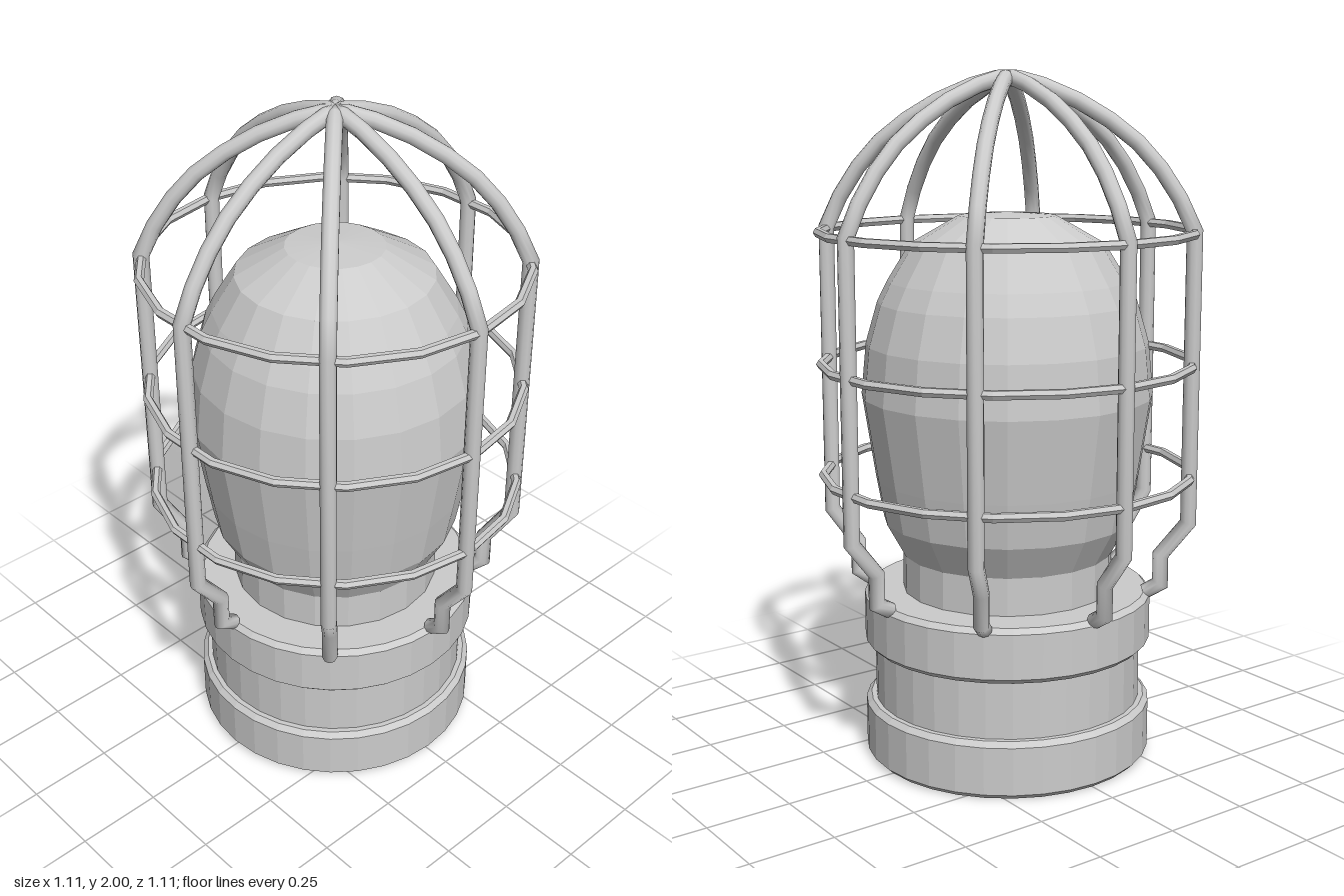
import * as THREE from 'three';

const material = new THREE.MeshStandardMaterial({ color: 0xcccccc, flatShading: true });
const smooth = new THREE.MeshStandardMaterial({ color: 0xcccccc });

function add(parent, name, geometry, mat = material) {
  const mesh = new THREE.Mesh(geometry, mat);
  mesh.name = name;
  parent.add(mesh);
  return mesh;
}

function lathe(profile, sides) {
  return new THREE.LatheGeometry(profile.map(([r, y]) => new THREE.Vector2(r, y)), sides);
}

// Round bar with mitred bends along a path in the XY plane, closed at both ends
function bar(path, radius, sides) {
  const pts = path.map(([x, y]) => new THREE.Vector2(x, y));
  const pos = [], index = [];
  pts.forEach((p, i) => {
    const before = p.clone().sub(pts[Math.max(i - 1, 0)]).normalize();
    const after = pts[Math.min(i + 1, pts.length - 1)].clone().sub(p).normalize();
    const t = before.clone().add(after).normalize();
    const along = i === 0 ? after : before;
    const mitre = radius / t.dot(along);
    for (let j = 0; j < sides; j++) {
      const a = (j / sides) * Math.PI * 2;
      const n = Math.cos(a) * mitre;
      pos.push(p.x - t.y * n, p.y + t.x * n, Math.sin(a) * radius);
    }
  });
  for (let i = 0; i < pts.length - 1; i++) {
    for (let j = 0; j < sides; j++) {
      const a = i * sides + j, b = i * sides + (j + 1) % sides;
      index.push(a, b, a + sides, b, b + sides, a + sides);
    }
  }
  const last = (pts.length - 1) * sides;
  for (let j = 1; j < sides - 1; j++) {
    index.push(0, j + 1, j, last, last + j, last + j + 1);
  }
  const g = new THREE.BufferGeometry();
  g.setAttribute('position', new THREE.Float32BufferAttribute(pos, 3));
  g.setIndex(index);
  g.computeVertexNormals();
  return g;
}

export function createModel() {
  const model = new THREE.Group();
  model.name = 'cagedLamp';

  // Socket: two bevelled collars with a narrower waist
  add(model, 'base', lathe([
    [0, 0], [0.41, 0], [0.425, 0.015], [0.425, 0.155], [0.41, 0.17], [0.395, 0.17],
    [0.395, 0.34], [0.41, 0.34], [0.425, 0.355], [0.425, 0.485], [0.41, 0.5], [0, 0.5],
  ], 32));

  // Faceted glass dome
  add(model, 'globe', lathe([
    [0.31, 0.49], [0.31, 0.61], [0.365, 0.71], [0.388, 0.84], [0.425, 1.08], [0.41, 1.23],
    [0.375, 1.35], [0.345, 1.41], [0.28, 1.515], [0.14, 1.595], [0, 1.605],
  ], 20));

  // Cage of eight bent bars meeting at the top
  const cage = new THREE.Group();
  cage.name = 'cage';
  model.add(cage);
  const barShape = bar([
    [0.41, 0.495], [0.455, 0.522], [0.455, 0.61], [0.533, 0.71], [0.533, 1.555], [0.49, 1.645],
    [0.435, 1.728], [0.37, 1.8], [0.29, 1.862], [0.2, 1.915], [0.1, 1.957], [0.03, 1.976], [0, 1.977],
  ], 0.023, 10);
  for (let i = 0; i < 8; i++) {
    add(cage, 'cageBar', barShape, smooth).rotation.y = (i * Math.PI) / 4;
  }

  // Horizontal wire hoops
  const hoop = new THREE.TorusGeometry(0.538, 0.014, 6, 18).rotateX(Math.PI / 2);
  for (const y of [0.847, 1.173, 1.55]) add(cage, 'cageHoop', hoop).position.y = y;

  return model;
}
